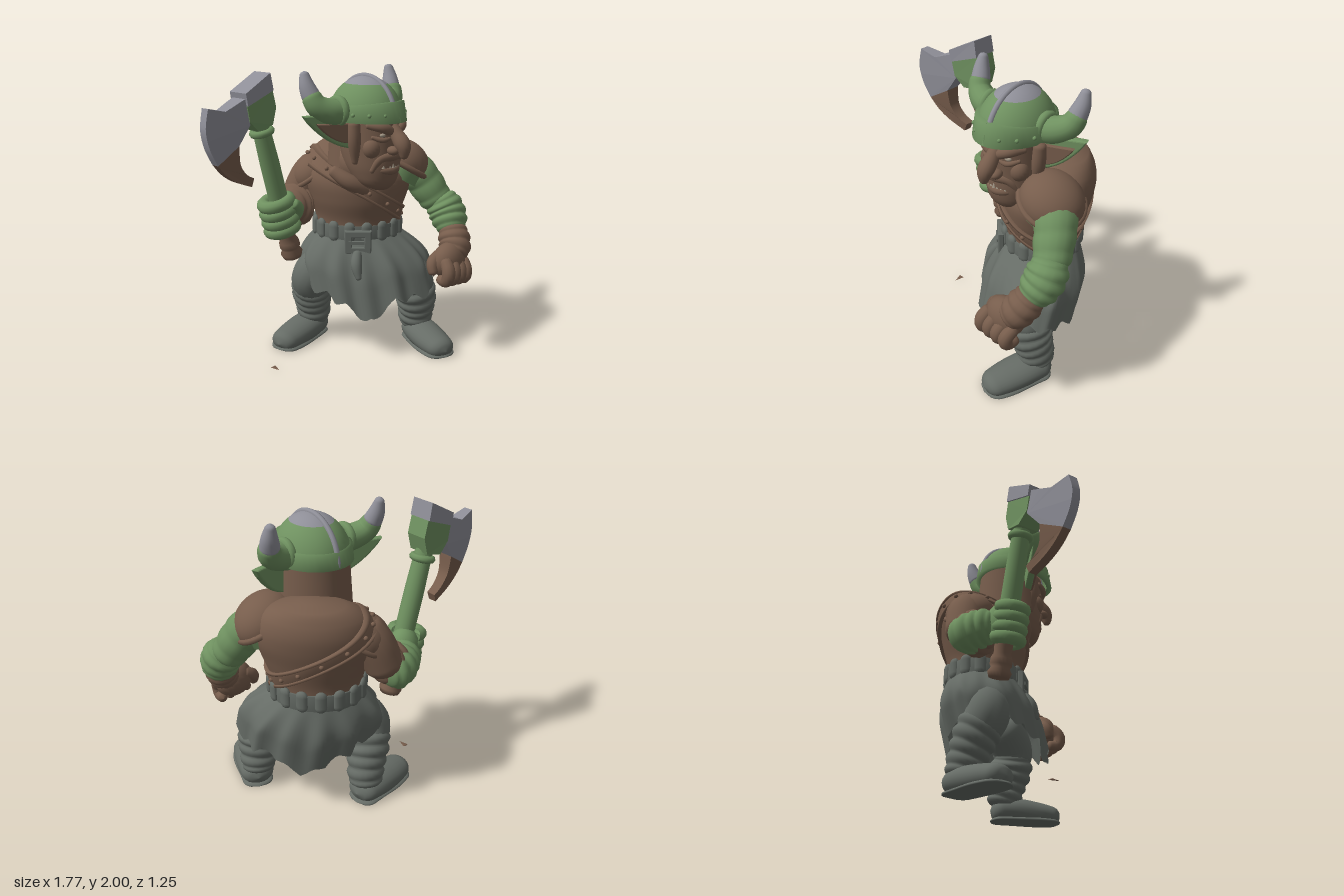
import * as THREE from 'three';

const GREEN = 0x6f9160, BROWN = 0x775d4c, GREY = 0x666c66, STEEL = 0x8f8f98, DARK = 0x41362f, TOOTH = 0xa09584;
const V = (x, y, z) => new THREE.Vector3(x, y, z);
const TAU = Math.PI * 2;

function add(parent, name, geo, color, pos = [0, 0, 0], scale = [1, 1, 1], rot = [0, 0, 0]) {
  const m = new THREE.Mesh(geo, new THREE.MeshStandardMaterial({ color, side: THREE.DoubleSide }));
  m.name = name;
  m.position.set(...pos); m.scale.set(...scale); m.rotation.set(...rot);
  parent.add(m);
  return m;
}
const ball = (parent, name, color, pos, scale) =>
  add(parent, name, new THREE.SphereGeometry(1, 20, 14), color, pos, scale);

// Skin over a list of closed rings of points
function skin(rings, caps = true) {
  const n = rings[0].length, p = [], idx = [];
  rings.forEach(r => r.forEach(v => p.push(v.x, v.y, v.z)));
  for (let i = 0; i < rings.length - 1; i++) for (let j = 0; j < n; j++) {
    const a = i * n + j, b = i * n + (j + 1) % n;
    idx.push(a, b, a + n, b, b + n, a + n);
  }
  if (caps) [0, rings.length - 1].forEach((i, top) => {
    const c = rings[i].reduce((s, v) => s.add(v), V(0, 0, 0)).divideScalar(n), k = p.length / 3;
    p.push(c.x, c.y, c.z);
    for (let j = 0; j < n; j++) {
      const a = i * n + j, b = i * n + (j + 1) % n;
      top ? idx.push(k, a, b) : idx.push(k, b, a);
    }
  });
  const g = new THREE.BufferGeometry();
  g.setAttribute('position', new THREE.Float32BufferAttribute(p, 3));
  g.setIndex(idx);
  g.computeVertexNormals();
  return g;
}

// Round-ended limb along a curve; radii are spread evenly, wraps adds bandage rolls
function limb(pts, radii, { wraps = 0, depth = 0.1, n = 16, steps = 36, floor = -1 } = {}) {
  const curve = new THREE.CatmullRomCurve3(pts.map(q => V(...q)));
  const f = curve.computeFrenetFrames(steps), L = curve.getLength();
  const rad = new THREE.CubicInterpolant(radii.map((_, i) => i / (radii.length - 1)), radii, 1);
  const rings = [];
  for (let i = 0; i <= steps; i++) {
    const u = i / steps, c = curve.getPointAt(u);
    let r = rad.evaluate(u)[0];
    const k = Math.min(1, Math.min(u, 1 - u) * L / (0.7 * r));
    r *= Math.max(0.03, Math.sqrt(1 - (1 - k) ** 2));
    rings.push(Array.from({ length: n }, (_, j) => {
      const a = j / n * TAU;
      const rr = r * (1 + (wraps ? depth * (Math.abs(Math.sin(Math.PI * u * wraps + 0.5 * Math.sin(a))) - 0.6) : 0));
      const v = c.clone().addScaledVector(f.normals[i], rr * Math.cos(a)).addScaledVector(f.binormals[i], rr * Math.sin(a));
      v.y = Math.max(v.y, floor);
      return v;
    }));
  }
  return skin(rings);
}

// Stack of upright ellipses from keys [y, rx, rz, cz]; angle 0 is the front
function profile(keys) {
  const s = new THREE.CubicInterpolant(keys.map(k => k[0]), keys.flatMap(k => k.slice(1)), 3);
  return (a, y, out = 0) => {
    const [rx, rz, cz] = s.evaluate(y);
    return V((rx + out) * Math.sin(a), y, cz + (rz + out) * Math.cos(a));
  };
}
const loop = (n, fn) => Array.from({ length: n }, (_, j) => fn(j / n * TAU));
function stack(keys, steps = 24, n = 40) {
  const at = profile(keys), y0 = keys[0][0], y1 = keys[keys.length - 1][0];
  return skin(Array.from({ length: steps + 1 }, (_, i) => loop(n, a => at(a, y0 + (y1 - y0) * i / steps))));
}

function polygon(pts) { return new THREE.Shape(pts.map(q => new THREE.Vector2(...q))); }

function buildBody(root) {
  const body = new THREE.Group();
  body.name = 'body';
  body.position.set(0.335, 0, -0.165);
  body.rotation.y = -0.78;
  root.add(body);

  const keys = [[0.76, 0.3, 0.245, 0], [0.95, 0.3, 0.25, 0], [1.1, 0.35, 0.285, 0], [1.25, 0.39, 0.3, -0.02],
    [1.36, 0.36, 0.265, -0.06], [1.45, 0.28, 0.19, -0.105], [1.5, 0.17, 0.12, -0.13], [1.515, 0.08, 0.06, -0.13]];
  add(body, 'torso', stack(keys, 32), BROWN);

  // Wraps that follow the torso surface
  const at = profile(keys);
  const strapY = a => 1.17 - 0.22 * Math.sin(a - 0.2);
  const band = (name, w, out, yOf, color) => add(body, name, skin([[-w, 0], [-w, out], [w, out], [w, 0]].map(([dy, o]) =>
    loop(64, a => at(a, yOf(a) + dy, o))), false), color);
  band('shoulderStrap', 0.05, 0.015, strapY, BROWN);
  for (const s of [-1, 1]) band('strapEdge', 0.01, 0.024, a => strapY(a) + s * 0.045, BROWN);
  band('belt', 0.055, 0.015, () => 0.87, GREY);
  for (let i = 0; i < 16; i++) {
    const a = i / 16 * TAU + 0.2, q = at(a, 0.88, 0.01);
    add(body, 'beltLoop', new THREE.CapsuleGeometry(0.04, 0.07, 4, 10), GREY, q.toArray(), [1, 1, 0.6], [0, a, 0]);
    ball(body, 'strapStud', BROWN, at(a, strapY(a), 0.016).toArray(), [0.015, 0.015, 0.015]);
  }
  // Buckle
  const frame = polygon([[-0.085, -0.075], [0.085, -0.075], [0.085, 0.075], [-0.085, 0.075]]);
  frame.holes.push(polygon([[-0.05, -0.042], [-0.05, 0.042], [0.05, 0.042], [0.05, -0.042]]));
  add(body, 'buckle', new THREE.ExtrudeGeometry(frame, { depth: 0.025, bevelSize: 0.008, bevelThickness: 0.008, bevelSegments: 2 }), GREY, [0, 0.82, 0.265]);
  add(body, 'bucklePin', new THREE.BoxGeometry(0.11, 0.02, 0.02), GREY, [-0.01, 0.82, 0.295]);

  // Tattered kilt with soft folds, a front tongue and a pointed tail
  const rows = 16, rings = [];
  for (let i = 0; i <= rows; i++) {
    const t = i / rows;
    rings.push(loop(120, a => {
      const tear = Math.abs(((a / TAU * 17) % 1) - 0.5) * 0.12 + 0.02 * Math.sin(5 * a);
      const tongue = 0.13 * Math.exp(-((Math.sin(a / 2) / 0.12) ** 2)) + 0.1 * Math.exp(-((Math.cos(a / 2) / 0.15) ** 2));
      const low = 0.41 - 0.03 * Math.cos(2 * a) + tear - tongue;
      const puff = Math.sin(Math.min(1, t * 1.6) * Math.PI / 2), fold = 1 + 0.04 * Math.min(1, t * 2) * Math.cos(11 * a + 2 * Math.sin(2 * a));
      return V(0.09 * t + (0.3 + 0.17 * puff) * fold * Math.sin(a), 0.84 + (low - 0.84) * t,
        0.09 * t + (0.25 + 0.09 * puff - 0.01 * t) * fold * Math.cos(a));
    }));
  }
  add(body, 'kilt', skin(rings.reverse(), false), GREY);
  add(body, 'beltTassel', limb([[0, 0.76, 0.28], [-0.01, 0.68, 0.33], [0.01, 0.57, 0.37]], [0.03, 0.04, 0.02]), GREY);
}

function buildHead(root) {
  const head = new THREE.Group();
  head.name = 'head';
  root.add(head);
  add(head, 'neck', limb([[0.34, 1.2, -0.22], [0.3, 1.33, -0.1], [0.26, 1.48, 0.02]], [0.2, 0.2, 0.18]), BROWN);
  add(head, 'collar', limb([[0.02, 1.34, -0.12], [0.09, 1.25, 0.0], [0.24, 1.18, 0.06], [0.4, 1.24, 0.08], [0.5, 1.36, 0.0]], [0.04, 0.055, 0.05, 0.055, 0.04]), BROWN);
  add(head, 'skull', stack([[1.2, 0.06, 0.05, 0.12], [1.23, 0.12, 0.11, 0.09], [1.32, 0.17, 0.18, 0.05],
    [1.45, 0.19, 0.215, 0.02], [1.58, 0.19, 0.22, 0.02], [1.72, 0.19, 0.22, 0.02]]), BROWN, [0.265, 0, 0]);
  // Face
  add(head, 'nose', limb([[0.268, 1.66, 0.19], [0.268, 1.585, 0.255], [0.266, 1.51, 0.315], [0.263, 1.43, 0.325]], [0.032, 0.045, 0.052, 0.02]), BROWN);
  add(head, 'upperLip', limb([[0.13, 1.33, 0.15], [0.18, 1.425, 0.19], [0.262, 1.44, 0.225], [0.345, 1.425, 0.19], [0.395, 1.33, 0.14]], [0.018, 0.03, 0.034, 0.03, 0.018]), BROWN);
  add(head, 'lowerLip', limb([[0.16, 1.35, 0.165], [0.21, 1.345, 0.205], [0.262, 1.34, 0.22], [0.32, 1.345, 0.205], [0.37, 1.35, 0.16]], [0.018, 0.026, 0.028, 0.026, 0.018]), BROWN);
  ball(head, 'mouth', DARK, [0.262, 1.388, 0.18], [0.105, 0.035, 0.05]);
  ball(head, 'chin', BROWN, [0.262, 1.27, 0.14], [0.1, 0.055, 0.06]);
  for (let i = 0; i < 7; i++)
    add(head, 'tooth', new THREE.ConeGeometry(0.014, i % 5 === 1 ? 0.075 : 0.045, 8), TOOTH, [0.19 + i * 0.024, 1.385, 0.23 - Math.abs(i - 3) * 0.007]);
  for (const s of [-1, 1]) {
    const x = d => 0.266 + s * d;
    ball(head, 'nostril', BROWN, [x(0.04), 1.485, 0.26], [0.034, 0.03, 0.045]);
    ball(head, 'eye', TOOTH, [x(0.082), 1.585, 0.205], [0.026, 0.015, 0.02]);
    ball(head, 'cheek', BROWN, [x(0.11), 1.495, 0.14], [0.07, 0.075, 0.065]);
    add(head, 'brow', limb([[x(0.02), 1.6, 0.235], [x(0.09), 1.635, 0.215], [x(0.165), 1.65, 0.13]], [0.03, 0.034, 0.02]), BROWN);
    add(head, 'eyeBag', limb([[x(0.03), 1.565, 0.23], [x(0.085), 1.553, 0.215], [x(0.145), 1.575, 0.16]], [0.012, 0.018, 0.012]), BROWN);
    add(head, 'cheekGuard', limb([[x(0.2), 1.68, 0.06], [x(0.195), 1.55, 0.06], [x(0.17), 1.38, 0.05]], [0.04, 0.045, 0.025]), BROWN);
    // Pointed ear
    const ear = new THREE.Group();
    ear.name = s > 0 ? 'leftEar' : 'rightEar';
    ear.position.set(x(0.18), 1.6, 0);
    ear.scale.x = s * (s > 0 ? 0.92 : 1.15);
    ear.rotation.y = s * 0.35;
    head.add(ear);
    const shape = new THREE.Shape().moveTo(0, -0.1);
    shape.quadraticCurveTo(0.14, -0.08, 0.28, 0.11);
    shape.quadraticCurveTo(0.15, 0.1, 0, 0.1);
    const geo = new THREE.ExtrudeGeometry(shape, { depth: 0.02, bevelSize: 0.012, bevelThickness: 0.015, bevelSegments: 3 });
    add(ear, 'earShell', geo, GREEN);
    add(ear, 'earInner', geo, BROWN, [0.03, -0.005, 0.02], [0.65, 0.6, 1]);
  }
  // Helmet
  const helmet = new THREE.Group();
  helmet.name = 'helmet';
  helmet.position.set(0.235, 1.68, 0);
  root.add(helmet);
  const cap = (a, b) => new THREE.SphereGeometry(1, 32, 12, 0, TAU, a, b - a);
  add(helmet, 'dome', cap(0.6, 1.6), GREEN, [0, 0, 0], [0.232, 0.27, 0.265]);
  add(helmet, 'crown', cap(0, 0.6), STEEL, [0, 0, 0], [0.232, 0.27, 0.265]);
  const row = (lo, out) => loop(40, a => {
    const f = Math.max(0, Math.cos(a));
    return V((0.228 + out) * Math.sin(a), lo * 0.1 + 0.03 * f * (lo ? 1 : 0) - 0.01, (0.262 + out + 0.03 * f * f * (lo ? 0.3 : 1)) * Math.cos(a));
  });
  add(helmet, 'brimBand', skin([row(0, -0.02), row(0, 0.018), row(1, 0.006), row(1, -0.04)], false), GREEN);
  add(helmet, 'ridge', new THREE.TorusGeometry(0.262, 0.018, 8, 32, Math.PI), STEEL, [0, 0, 0], [1, 1.03, 1], [0, Math.PI / 2, 0]);
  add(helmet, 'frontPeak', new THREE.ConeGeometry(0.045, 0.14, 4), GREEN, [0.005, 0.06, 0.28], [1, 1, 0.5], [-0.15, 0, 0]);
  add(helmet, 'neckGuard', new THREE.CylinderGeometry(0.225, 0.245, 0.32, 28, 3, true, Math.PI * 0.5, Math.PI), BROWN, [0, -0.15, 0], [1, 1, 1.08]);
  for (const s of [-1, 1]) {
    const x = d => s * d - 0.015;
    add(helmet, 'hornCollar', new THREE.TorusGeometry(0.075, 0.028, 10, 24), GREEN, [x(0.225), 0.06, -0.02], [1, 1, 1], [0, Math.PI / 2, s * 0.15]);
    add(helmet, 'horn', limb([[x(0.15), 0.05, -0.01], [x(0.27), 0.055, -0.03], [x(0.36), 0.1, -0.07], [x(0.395), 0.19, -0.11]], [0.08, 0.085, 0.075, 0.06]), GREEN);
    add(helmet, 'hornTip', limb([[x(0.375), 0.13, -0.09], [x(0.395), 0.22, -0.125], [x(0.4), 0.315, -0.15]], [0.066, 0.052, 0.025]), STEEL);
    for (let i = 1; i < 4; i++) ball(helmet, 'rivet', GREEN, [s * 0.24 * Math.sin(i * 0.4), 0.04, 0.285 * Math.cos(i * 0.4)], [0.013, 0.013, 0.013]);
  }
}

function buildArms(root) {
  // Left arm hangs forward with a closed fist
  add(root, 'leftUpperArm', limb([[0.56, 1.34, 0.02], [0.66, 1.24, 0.12], [0.72, 1.1, 0.21], [0.75, 1.0, 0.27]], [0.14, 0.135, 0.125, 0.11], { wraps: 4, depth: 0.05 }), GREEN);
  add(root, 'leftBracer', limb([[0.74, 1.1, 0.24], [0.755, 0.98, 0.32], [0.715, 0.84, 0.42]], [0.115, 0.13, 0.1], { wraps: 5, depth: 0.1 }), GREEN);
  add(root, 'leftWrist', limb([[0.735, 0.9, 0.38], [0.68, 0.78, 0.46], [0.61, 0.7, 0.5]], [0.1, 0.11, 0.1], { wraps: 4 }), BROWN);
  ball(root, 'leftPalm', BROWN, [0.59, 0.69, 0.48], [0.14, 0.13, 0.1]);
  for (let i = 0; i < 4; i++) {
    const x = 0.475 + i * 0.065, y = 0.012 * i;
    add(root, 'leftFinger', limb([[x + 0.03, 0.73 - y, 0.51], [x, 0.65 - y, 0.57], [x, 0.585 - y * 0.7, 0.555], [x + 0.015, 0.575 - y * 0.5, 0.47]], [0.04, 0.046, 0.043, 0.032], { n: 12, steps: 20 }), BROWN);
  }
  add(root, 'leftThumb', limb([[0.55, 0.74, 0.44], [0.46, 0.69, 0.44], [0.44, 0.61, 0.47]], [0.045, 0.043, 0.03], { n: 12, steps: 18 }), BROWN);

  // Right arm bends at the elbow to hold the axe
  add(root, 'rightUpperArm', limb([[0.18, 1.33, -0.36], [0.11, 1.21, -0.44], [0.06, 1.08, -0.48], [0.03, 0.98, -0.5]], [0.13, 0.135, 0.13, 0.12]), BROWN);
  add(root, 'rightSleeve', limb([[0.1, 1.03, -0.45], [-0.02, 1.03, -0.44], [-0.14, 1.04, -0.4]], [0.14, 0.155, 0.13], { wraps: 4 }), BROWN);
  add(root, 'rightBracer', limb([[0.07, 0.98, -0.5], [-0.04, 1.0, -0.5], [-0.14, 1.02, -0.45], [-0.22, 1.03, -0.39]], [0.12, 0.13, 0.12, 0.1], { wraps: 6, depth: 0.1 }), GREEN);
  ball(root, 'rightPalm', GREEN, [-0.22, 1.03, -0.37], [0.11, 0.14, 0.1]);

  // Layered shoulder pads
  const half = new THREE.SphereGeometry(1, 28, 10, 0, TAU, 0, 1.65);
  [[[0.57, 1.32, 0.05], 'left', [0.3, 0, -0.45], 1.05, GREEN], [[0.14, 1.25, -0.4], 'right', [-0.5, 0, 0.4], 0.88, BROWN]].forEach(([p, side, rot, size, under]) => {
    const pad = new THREE.Group();
    pad.name = side + 'ShoulderPad';
    pad.position.set(...p); pad.rotation.set(...rot); pad.scale.setScalar(size);
    root.add(pad);
    add(pad, 'padShell', half, BROWN, [0, 0, 0], [0.2, 0.16, 0.185]);
    add(pad, 'padRim', new THREE.TorusGeometry(0.185, 0.02, 8, 32), BROWN, [0, -0.005, 0], [1.06, 1, 1], [Math.PI / 2, 0, 0]);
    add(pad, 'padUnderlayer', new THREE.CylinderGeometry(0.175, 0.165, 0.09, 28, 1, true), under, [0, -0.05, 0]);
  });
}

function buildAxe(root) {
  const axe = new THREE.Group();
  axe.name = 'axe';
  axe.position.set(-0.15, 0.72, -0.335);
  axe.rotation.z = 0.257;
  root.add(axe);
  const lathe = pts => new THREE.LatheGeometry(pts.map(q => new THREE.Vector2(...q)), 20);
  add(axe, 'pommel', lathe([[0, -0.03], [0.065, -0.025], [0.078, 0.01], [0.06, 0.04], [0.072, 0.06], [0.07, 0.1], [0.056, 0.13], [0.062, 0.22]]), BROWN);
  add(axe, 'handle', lathe([[0.06, 0.2], [0.066, 0.45], [0.065, 0.7], [0.058, 0.95], [0.058, 1.1]]), GREEN);
  add(axe, 'socketRing', new THREE.TorusGeometry(0.06, 0.025, 8, 24), GREEN, [0, 0.92, 0], [1, 1, 1], [Math.PI / 2, 0, 0]);
  // Gripping fingers
  for (let i = 0; i < 4; i++)
    add(axe, 'rightFinger', new THREE.TorusGeometry(0.082, 0.043, 10, 20, 4.6), GREEN, [-0.025, 0.22 + i * 0.066, 0], [1.1, 1, 1], [Math.PI / 2, 0, 0.12]);
  add(axe, 'rightThumb', limb([[0.07, 0.25, 0.02], [0.08, 0.34, 0.08], [0.03, 0.41, 0.1]], [0.045, 0.045, 0.035], { n: 12, steps: 18 }), GREEN);

  // Axe head, thinning away from the socket
  const plate = (name, shape, color, thick, thin) => {
    const g = new THREE.ExtrudeGeometry(shape, { depth: 1, bevelEnabled: false, curveSegments: 16 }), p = g.attributes.position;
    for (let i = 0; i < p.count; i++) {
      const x = p.getX(i), t = THREE.MathUtils.clamp((Math.hypot(x + 0.42, p.getY(i) - 1.75) - 0.14) / 0.32, 0, 1);
      p.setZ(i, -0.335 + 0.18 * Math.max(0, -0.45 - x) + (p.getZ(i) - 0.5) * (thick + (thin - thick) * t));
    }
    g.computeVertexNormals();
    add(root, name, g, color);
  };
  plate('axePoll', polygon([[-0.365, 1.99], [-0.58, 1.88], [-0.565, 1.8], [-0.345, 1.88]]), STEEL, 0.17, 0.15);
  plate('axeSocket', polygon([[-0.345, 1.88], [-0.565, 1.8], [-0.545, 1.7], [-0.47, 1.63], [-0.35, 1.66], [-0.32, 1.77]]), GREEN, 0.15, 0.13);
  const upper = polygon([[-0.54, 1.68], [-0.56, 1.85], [-0.64, 1.82], [-0.73, 1.785], [-0.86, 1.815]]);
  upper.splineThru([[-0.885, 1.69], [-0.86, 1.57], [-0.8, 1.46]].map(q => new THREE.Vector2(...q)));
  upper.lineTo(-0.63, 1.56);
  plate('axeBlade', upper, STEEL, 0.14, 0.06);
  const lower = polygon([[-0.63, 1.56], [-0.8, 1.46]]);
  lower.splineThru([[-0.73, 1.385], [-0.64, 1.325], [-0.51, 1.27]].map(q => new THREE.Vector2(...q)));
  lower.lineTo(-0.49, 1.325);
  lower.splineThru([[-0.56, 1.365], [-0.615, 1.44], [-0.63, 1.56]].map(q => new THREE.Vector2(...q)));
  plate('axeBeard', lower, BROWN, 0.14, 0.06);
}

function buildLegs(root) {
  [['left', [[0.45, 0.66, 0.02], [0.54, 0.5, 0.2], [0.57, 0.36, 0.21], [0.6, 0.22, 0.19], [0.61, 0.08, 0.16]],
    [[0.66, 0.1, 0.1], [0.6, 0.1, 0.24], [0.55, 0.08, 0.38], [0.49, 0.06, 0.57]]],
  ['right', [[0.2, 0.68, -0.25], [0.02, 0.52, -0.31], [0.07, 0.36, -0.37], [0.11, 0.22, -0.4], [0.13, 0.08, -0.42]],
    [[0.23, 0.1, -0.45], [0.09, 0.1, -0.42], [-0.08, 0.08, -0.39], [-0.28, 0.06, -0.35]]]].forEach(([side, leg, foot]) => {
    add(root, side + 'Thigh', limb(leg.slice(0, 3), [0.13, 0.145, 0.13]), GREY);
    add(root, side + 'LegWraps', limb(leg.slice(1), [0.14, 0.145, 0.125, 0.12], { wraps: 6, depth: 0.13, n: 20, steps: 48 }), GREY);
    add(root, side + 'Boot', limb(foot, [0.1, 0.125, 0.12, 0.09], { floor: 0, n: 24 }), GREY, [0, 0, 0], [1, 0.75, 1]);
    add(root, side + 'Sole', limb(foot.map(q => [q[0], 0.02, q[2]]), [0.1, 0.115, 0.125, 0.1], { floor: 0, n: 24 }), GREY, [0, 0, 0], [1, 0.25, 1]);
  });
}

export function createModel() {
  const root = new THREE.Group();
  root.name = 'axeWarrior';
  buildBody(root);
  buildHead(root);
  buildArms(root);
  buildAxe(root);
  buildLegs(root);
  // Loose chip on the floor
  add(root, 'floorChip', new THREE.ConeGeometry(0.025, 0.07, 3), BROWN, [-0.47, 0.004, -0.15], [1, 1, 0.15], [Math.PI / 2, 0, 0]);
  return root;
}
